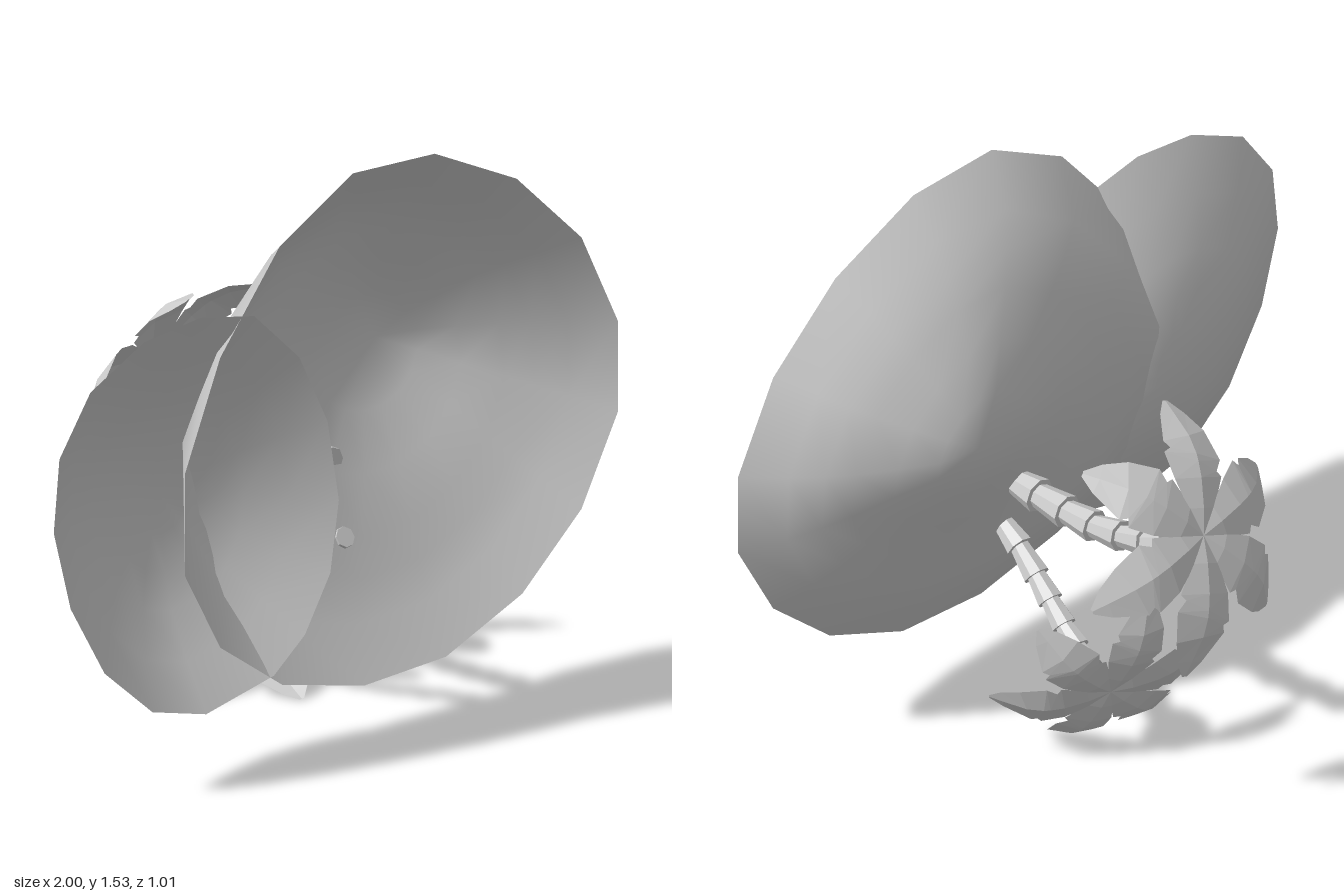
import * as THREE from 'three';

const smooth = new THREE.MeshStandardMaterial({ color: 0xcccccc, side: THREE.DoubleSide });
const faceted = new THREE.MeshStandardMaterial({ color: 0xcccccc, side: THREE.DoubleSide, flatShading: true });
const V = (x, y, z) => new THREE.Vector3(x, y, z);

function buildGeometry(positions, index) {
  const g = new THREE.BufferGeometry();
  g.setAttribute('position', new THREE.Float32BufferAttribute(positions, 3));
  g.setIndex(index);
  g.computeVertexNormals();
  return g;
}

// Open dome: rings shrink from the rim towards an off-centre peak.
// profile: [scale, z] rows from rim to peak; bulge swells the -x shoulder,
// hollow flattens the lower slope.
function mound(name, rim, peak, profile, bulge, hollow) {
  const n = rim.length;
  const pos = [];
  const idx = [];
  for (const [s, z] of profile) {
    for (const [x, y] of rim) {
      const dx = x - peak[0];
      const dy = y - peak[1];
      const len = Math.hypot(dx, dy);
      const side = Math.max(0, -dx / len);
      const down = Math.max(0, -dy / len);
      const swell = bulge * side ** 3 * s ** 5 * (1 - s);
      const dent = hollow * down * s ** 2 * (1 - s) ** 2;
      pos.push(peak[0] + dx * s, peak[1] + dy * s, z - swell + dent);
    }
  }
  for (let j = 0; j < profile.length - 1; j++) {
    for (let i = 0; i < n; i++) {
      const a = j * n + i;
      const b = j * n + (i + 1) % n;
      idx.push(a, b, b + n, a, b + n, a + n);
    }
  }
  // Peak fan
  const last = (profile.length - 1) * n;
  pos.push(peak[0], peak[1], peak[2]);
  for (let i = 0; i < n; i++) idx.push(last + i, last + (i + 1) % n, profile.length * n);
  const mesh = new THREE.Mesh(buildGeometry(pos, idx), smooth);
  mesh.name = name;
  return mesh;
}

// Trunk of flared, eight-sided segments along a list of points
function trunk(points, rBase, rTop) {
  const group = new THREE.Group();
  group.name = 'trunk';
  const n = points.length - 1;
  for (let i = 0; i < n; i++) {
    const dir = points[i + 1].clone().sub(points[i]);
    const r = THREE.MathUtils.lerp(rBase, rTop, i / (n - 1));
    const seg = new THREE.Mesh(new THREE.CylinderGeometry(r * 1.08, r * 0.78, dir.length() * 1.04, 8), faceted);
    seg.name = 'trunkSegment';
    seg.position.copy(points[i]).addScaledVector(dir, 0.5);
    seg.quaternion.setFromUnitVectors(V(0, 1, 0), dir.normalize());
    group.add(seg);
  }
  return group;
}

// Broad drooping leaf along +x, folded along its spine, with notched edges
function leafGeometry() {
  const spine = new THREE.CatmullRomCurve3([V(0, 0, 0), V(0.12, 0.01, 0), V(0.24, -0.015, 0), V(0.36, -0.11, 0)]);
  // [position along spine, half width]
  const left = [[0, 0.012], [0.2, 0.046], [0.42, 0.08], [0.62, 0.094], [0.65, 0.072], [0.7, 0.084], [0.9, 0.042], [1, 0.008]];
  const right = [[0, 0.012], [0.2, 0.048], [0.42, 0.087], [0.46, 0.07], [0.54, 0.094], [0.76, 0.075], [0.9, 0.044], [1, 0.008]];
  const pos = [];
  const idx = [];
  left.forEach((l, i) => {
    const r = right[i];
    const a = spine.getPoint(l[0]);
    const m = spine.getPoint((l[0] + r[0]) / 2);
    const b = spine.getPoint(r[0]);
    pos.push(a.x, a.y - l[1] * 0.2, -l[1], m.x, m.y, 0, b.x, b.y - r[1] * 0.2, r[1]);
    if (i > 0) {
      for (const k of [0, 1]) {
        const p = (i - 1) * 3 + k;
        idx.push(p, p + 1, p + 4, p, p + 4, p + 3);
      }
    }
  });
  return buildGeometry(pos, idx);
}

// Six leaves and a few nuts around the given axis, turned by spin
function crown(center, axis, scale, spin) {
  const group = new THREE.Group();
  group.name = 'crown';
  const leaf = leafGeometry();
  for (let i = 0; i < 6; i++) {
    const mesh = new THREE.Mesh(leaf, faceted);
    mesh.name = 'leaf';
    mesh.rotation.y = spin - i * Math.PI / 3;
    group.add(mesh);
  }
  for (let i = 0; i < 3; i++) {
    const nut = new THREE.Mesh(new THREE.IcosahedronGeometry(0.021, 1), smooth);
    const a = i * 2.1 + 0.5;
    nut.name = 'nut';
    nut.position.set(0.042 * Math.cos(a), -0.03, 0.042 * Math.sin(a));
    group.add(nut);
  }
  const up = axis.clone().normalize();
  const zAxis = V(0, 1, 0).addScaledVector(up, -up.y).normalize();
  const xAxis = up.clone().cross(zAxis);
  group.quaternion.setFromRotationMatrix(new THREE.Matrix4().makeBasis(xAxis, up, zAxis));
  group.position.copy(center);
  group.scale.setScalar(scale);
  return group;
}

function palm(name, trunkPart, crownPart) {
  const group = new THREE.Group();
  group.name = name;
  group.add(trunkPart, crownPart);
  return group;
}

export function createModel() {
  const model = new THREE.Group();
  model.name = 'palmIsland';

  // Two overlapping sand mounds, open underneath (towards +z)
  const bigRim = [[0.06, 1.52], [0.35, 1.52], [0.64, 1.40], [0.87, 1.20], [1, 0.95], [1, 0.71], [0.87, 0.47], [0.66, 0.28],
    [0.39, 0.16], [0.10, 0.135], [-0.19, 0.19], [-0.41, 0.33], [-0.535, 0.545], [-0.535, 0.82], [-0.41, 1.11], [-0.20, 1.37]];
  const smallRim = [[-0.48, 1.23], [-0.29, 1.20], [-0.13, 1.06], [-0.03, 0.87], [0.01, 0.65], [-0.02, 0.46], [-0.11, 0.31], [-0.22, 0.22],
    [-0.46, 0.16], [-0.65, 0.20], [-0.82, 0.335], [-0.94, 0.53], [-1, 0.745], [-0.98, 0.94], [-0.87, 1.10], [-0.68, 1.20]];
  model.add(
    mound('largeMound', bigRim, [0.46, 0.94, 0.155],
      [[1, 0.5], [0.83, 0.405], [0.7, 0.342], [0.58, 0.292], [0.4, 0.232], [0.22, 0.177]], 1.5, 0.72),
    mound('smallMound', smallRim, [-0.43, 0.7, 0.297],
      [[1, 0.5], [0.77, 0.42], [0.54, 0.355], [0.36, 0.322], [0.18, 0.302]], 0, 0),
  );

  // Palms grow out of the mounds towards -z
  const tall = [[0.67, 0.25], [0.667, 0.17], [0.665, 0.07], [0.668, -0.03], [0.685, -0.13], [0.712, -0.22], [0.745, -0.30], [0.785, -0.39]];
  model.add(palm('tallPalm',
    trunk(tall.map(([y, z]) => V(0.22, y, z)), 0.045, 0.034),
    crown(V(0.20, 0.812, -0.41), V(-0.08, 0.47, -0.88), 1, 0.1)));

  const low = [[0.485, 0.33], [0.45, 0.26], [0.40, 0.19], [0.355, 0.13], [0.31, 0.07], [0.275, 0.01], [0.245, -0.05], [0.215, -0.125]];
  model.add(palm('lowPalm',
    trunk(low.map(([y, z], i) => V(0.19 + 0.01 * i, y, z)), 0.036, 0.028),
    crown(V(0.265, 0.215, -0.135), V(0.41, -0.4, -0.83), 0.84, 0.2)));

  return model;
}
